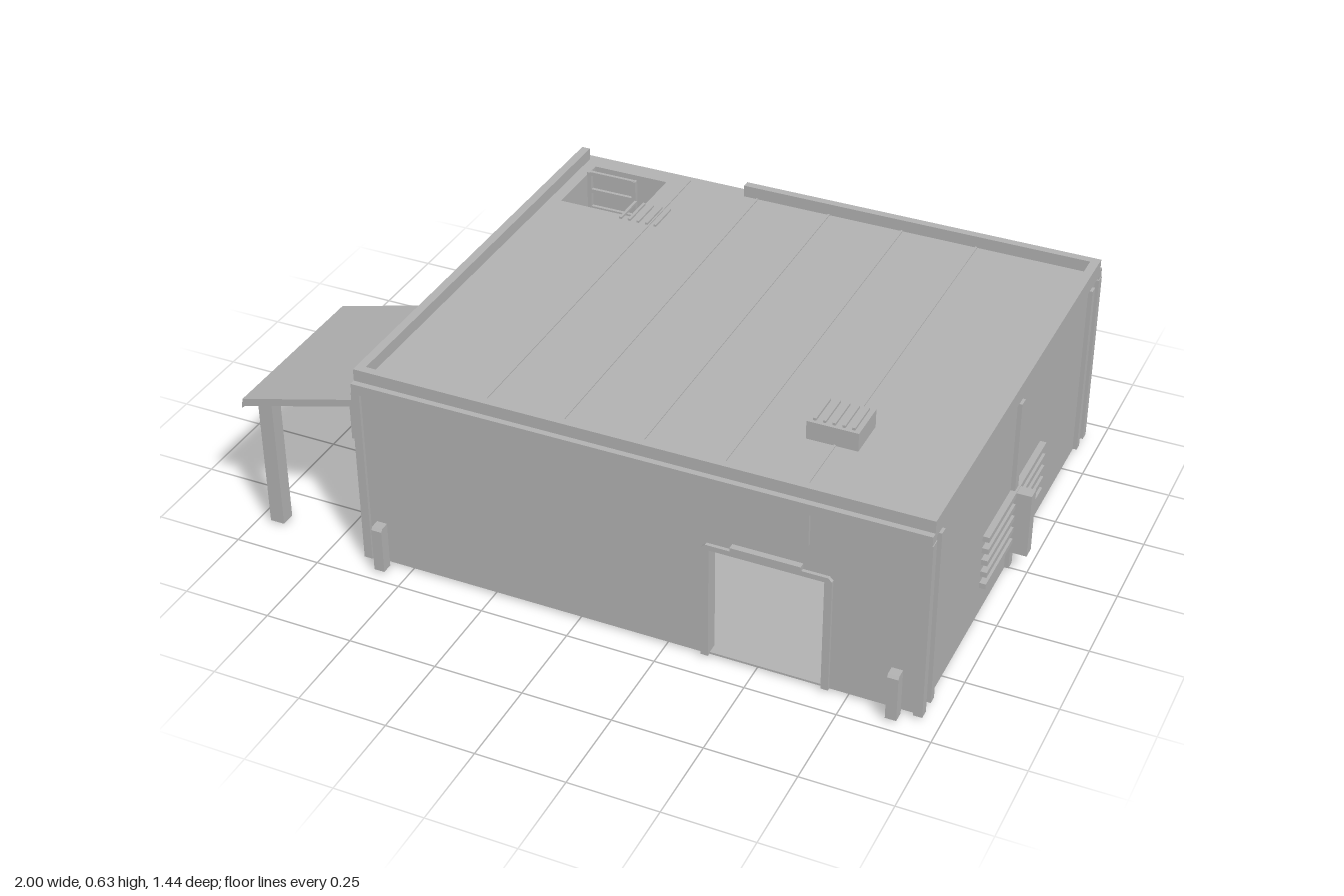
import * as THREE from 'three';

export function createModel() {
  const model = new THREE.Group();
  const concrete = new THREE.MeshStandardMaterial({ color: 0xb2b2b2, side: THREE.DoubleSide });
  concrete.name = 'concreteGrey';

  const add = (parent, name, geometry) => {
    const mesh = new THREE.Mesh(geometry, concrete);
    mesh.name = name;
    parent.add(mesh);
    return mesh;
  };
  // Box given by its extents on each axis
  const box = (parent, name, x0, x1, y0, y1, z0, z1) => {
    const mesh = add(parent, name, new THREE.BoxGeometry(x1 - x0, y1 - y0, z1 - z0));
    mesh.position.set((x0 + x1) / 2, (y0 + y1) / 2, (z0 + z1) / 2);
    return mesh;
  };
  // Outline in x and y, extruded from z0 to z1
  const plate = (parent, name, points, z0, z1) => {
    const shape = new THREE.Shape(points.map(([x, y]) => new THREE.Vector2(x, y)));
    const geometry = new THREE.ExtrudeGeometry(shape, { depth: z1 - z0, bevelEnabled: false });
    return add(parent, name, geometry.translate(0, 0, z0));
  };

  const building = new THREE.Group();
  building.name = 'building';
  building.position.x = 0.155;
  model.add(building);

  // Floor and the slightly smaller base under it
  box(building, 'base', -0.77, 0.77, 0, 0.008, -0.655, 0.655);
  box(building, 'floor', -0.785, 0.785, 0.006, 0.012, -0.67, 0.67);

  // Each half holds one door wall and one louvred wall; the second is turned round
  for (let i = 0; i < 2; i++) {
    const half = new THREE.Group();
    half.name = i ? 'backHalf' : 'frontHalf';
    half.rotation.y = i * Math.PI;
    building.add(half);

    // Door wall with opening
    plate(half, 'doorWall', [
      [-0.785, 0.008], [0.215, 0.008], [0.215, 0.345], [0.525, 0.345],
      [0.525, 0.008], [0.785, 0.008], [0.785, 0.56], [-0.785, 0.56],
    ], 0.64, 0.672);
    plate(half, 'doorFrame', [
      [0.195, 0.008], [0.215, 0.008], [0.215, 0.345], [0.525, 0.345], [0.525, 0.008],
      [0.545, 0.008], [0.545, 0.35], [0.535, 0.36], [0.205, 0.36], [0.195, 0.35],
    ], 0.66, 0.682);
    box(half, 'doorLintel', 0.275, 0.465, 0.362, 0.377, 0.66, 0.69);

    // Stepped fascia below the roof edge
    plate(half, 'fascia', [
      [-0.735, 0.535], [-0.48, 0.535], [-0.48, 0.44], [0.48, 0.44],
      [0.48, 0.535], [0.735, 0.535], [0.735, 0.565], [-0.735, 0.565],
    ], 0.66, 0.682);
    box(half, 'roofLedge', -0.795, 0.795, 0.535, 0.565, 0.66, 0.682);

    // Louvred side wall
    box(half, 'sideWall', 0.755, 0.785, 0.008, 0.565, -0.67, 0.67);
    box(half, 'centreStrip', 0.78, 0.797, 0.008, 0.535, -0.014, 0.014);
    box(half, 'louvrePost', 0.78, 0.845, 0.065, 0.26, -0.018, 0.018);
    for (let k = 0; k < 5; k++) {
      const y = 0.096 + k * 0.0375;
      box(half, 'louvre', 0.78, 0.803, y, y + 0.016, -0.236, 0.236);
    }

    for (const s of [-1, 1]) {
      // Corner trims and the strips beside them
      const trim = box(half, 'cornerTrim', -0.012, 0.012, 0.008, 0.538, 0.655, 0.682);
      trim.position.x = s * 0.785;
      const strip = box(half, 'sideStrip', 0.78, 0.797, 0.008, 0.535, -0.012, 0.012);
      strip.position.z = s * 0.608;
      // Bollards with sloping heads
      const bollard = plate(half, 'bollard', [
        [0.69, 0.01], [0.722, 0.01], [0.722, 0.14], [0.715, 0.148], [0.69, 0.148],
      ], -0.015, 0.015);
      bollard.rotation.y = -Math.PI / 2;
      bollard.position.x = s * 0.728;
    }
    // Side parapet
    box(half, 'sideParapet', 0.77, 0.795, 0.55, 0.6, -0.66, 0.66);
  }

  // Front parapet runs the whole width; the back one stops short
  box(building, 'frontParapet', -0.795, 0.795, 0.55, 0.6, 0.642, 0.665);
  box(building, 'backParapet', -0.265, 0.795, 0.55, 0.6, -0.665, -0.642);

  // Roof with a hatch opening
  const roofShape = new THREE.Shape([[-0.78, -0.66], [0.78, -0.66], [0.78, 0.66], [-0.78, 0.66]]
    .map(([x, y]) => new THREE.Vector2(x, y)));
  roofShape.holes.push(new THREE.Path([[-0.735, 0.4], [-0.735, 0.625], [-0.505, 0.625], [-0.505, 0.4]]
    .map(([x, y]) => new THREE.Vector2(x, y))));
  const roof = add(building, 'roof', new THREE.ExtrudeGeometry(roofShape, { depth: 0.015, bevelEnabled: false }));
  roof.rotation.x = -Math.PI / 2;
  roof.position.y = 0.55;
  for (let k = 0; k < 5; k++) {
    const x = -0.445 + k * 0.222;
    box(building, 'roofSeam', x - 0.003, x + 0.003, 0.563, 0.568, k ? -0.645 : -0.66, 0.645);
  }

  // Ladder rising through the hatch
  for (const x of [-0.695, -0.553]) box(building, 'ladderRail', x - 0.006, x + 0.006, 0.01, 0.615, -0.517, -0.503);
  for (let y = 0.05; y < 0.62; y += 0.056) {
    box(building, 'ladderRung', -0.695, -0.553, y - 0.006, y + 0.006, -0.515, -0.505);
  }

  // Roof vent box with slats
  box(building, 'ventBox', 0.365, 0.505, 0.56, 0.618, 0.305, 0.425);
  for (let k = 0; k < 5; k++) {
    const x = 0.383 + k * 0.026;
    box(building, 'ventSlat', x - 0.004, x + 0.004, 0.616, 0.625, 0.315, 0.415);
    // Row of raised bars beside the hatch
    const b = -0.491 + k * 0.0265;
    box(building, 'roofBar', b - 0.004, b + 0.004, 0.62, 0.626, -0.39, -0.29);
  }

  // Low lockers inside, seen through the door
  for (let k = 0; k < 4; k++) {
    const x = 0.245 + k * 0.06;
    box(building, 'locker', x, x + 0.058, 0.01, 0.22, -0.6, -0.45);
  }

  // Sloping side awning on two posts
  plate(model, 'awning', [[-0.64, 0.485], [-0.64, 0.505], [-0.995, 0.41], [-1, 0.38], [-0.99, 0.388]], 0.15, 0.665);
  for (const z of [0.19, 0.625]) box(model, 'awningPost', -0.96, -0.918, 0.008, 0.405, z - 0.021, z + 0.021);

  return model;
}
